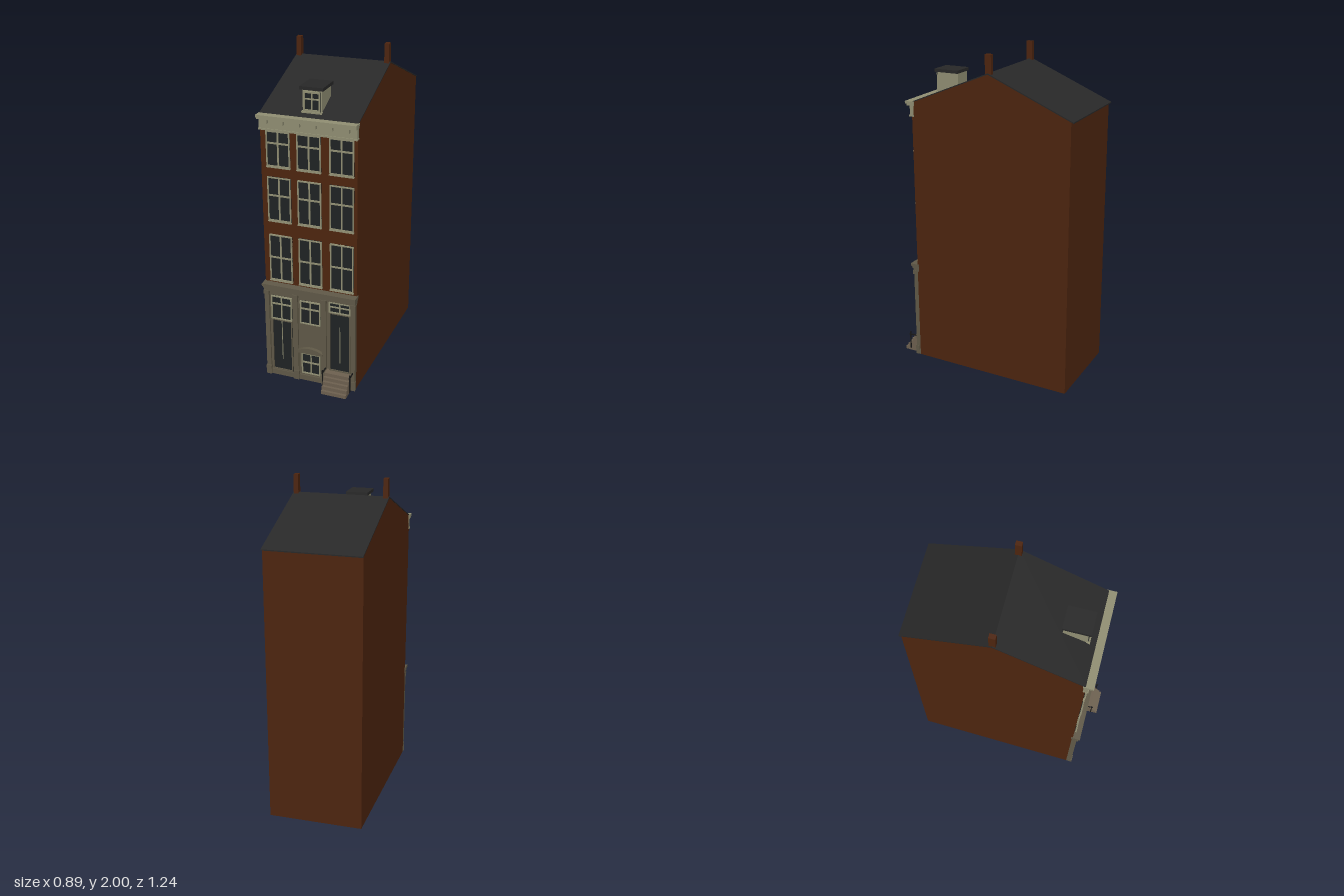
import * as THREE from 'three';

const mat = (name, color) => {
  const m = new THREE.MeshStandardMaterial({ color });
  m.name = name;
  return m;
};

export function createModel() {
  const brick = mat('brick', 0x4e250f);
  const slate = mat('roof slate', 0x282828);
  const cream = mat('cream paint', 0x929074);
  const stone = mat('ground floor stone', 0x615a48);
  const glass = mat('dark glass', 0x1f2324);
  const stepStone = mat('step stone', 0x6e6150);
  const iron = mat('iron', 0x181818);

  const model = new THREE.Group();
  model.name = 'townHouse';
  // House frame: facade lies in the plane z = 0, centred on x = 0
  const house = new THREE.Group();
  house.name = 'house';
  house.position.set(0.151, 0, 0.479);
  house.rotation.y = 0.3456;
  model.add(house);

  const W = 0.287, D = 1.035, EAVE = 1.675, RIDGE = 1.888, MID = -0.518, SHEAR = -0.03;

  const add = (name, geo, material, parent = house) => {
    const mesh = new THREE.Mesh(geo, material);
    mesh.name = name;
    parent.add(mesh);
    return mesh;
  };
  // Box given by its limits on each axis
  const box = (name, x0, x1, y0, y1, z0, z1, material, parent) => {
    const g = new THREE.BoxGeometry(x1 - x0, y1 - y0, z1 - z0);
    g.translate((x0 + x1) / 2, (y0 + y1) / 2, (z0 + z1) / 2);
    return add(name, g, material, parent);
  };
  // Side profile of [z, y] points swept across the width, following the skewed plot
  const sweep = (name, pts, half, material) => {
    const shape = new THREE.Shape(pts.map(([z, y]) => new THREE.Vector2(z, y)));
    const g = new THREE.ExtrudeGeometry(shape, { depth: 2 * half, bevelEnabled: false });
    g.rotateY(-Math.PI / 2).translate(half, 0, 0);
    const p = g.attributes.position;
    for (let i = 0; i < p.count; i++) p.setX(i, p.getX(i) + SHEAR * p.getZ(i));
    g.computeVertexNormals();
    return add(name, g, material);
  };

  // Brick body with gables, and the roof skin
  sweep('brickBody', [[0, 0], [0, EAVE], [MID, RIDGE], [-D, EAVE], [-D, 0]], W, brick);
  sweep('roof', [[0.005, EAVE - 0.002], [0.005, EAVE + 0.004], [MID, RIDGE + 0.007],
    [-D - 0.015, EAVE + 0.001], [-D - 0.015, EAVE - 0.006], [MID, RIDGE]], W + 0.002, slate);

  // Chimneys at both ends of the ridge
  for (const x of [-0.254, 0.285])
    box('chimney', x - 0.014, x + 0.014, 1.84, 2, MID - 0.019, MID + 0.019, brick);

  // Glazed opening: glass, border and bars; bars are [x] uprights and [y] crosspieces
  const glazed = (name, x0, x1, y0, y1, z, { ups = [], cross = [], rim = 0.007, frame = cream } = {}) => {
    const g = new THREE.Group();
    g.name = name;
    house.add(g);
    box('glass', x0, x1, y0, y1, z, z + 0.004, glass, g);
    const zf = z + 0.011;
    for (const [a, b] of [[x0, x0 + rim], [x1 - rim, x1]])
      box('frameUpright', a, b, y0, y1, z, zf, frame, g);
    for (const [a, b] of [[y0, y0 + rim], [y1 - rim, y1]])
      box('frameRail', x0 + rim, x1 - rim, a, b, z, zf, frame, g);
    for (const [x, a, b, w = 0.004] of ups)
      box('glazingBar', x - w, x + w, a, b, z, z + 0.008, cream, g);
    for (const [y, h = 0.005] of cross)
      box('crossBar', x0 + rim, x1 - rim, y - h, y + h, z, z + 0.009, cream, g);
    return g;
  };

  // Three storeys of three windows
  for (const [y0, y1, bar] of [[0.656, 0.952, 0.806], [1.042, 1.312, 1.2], [1.376, 1.587, 1.515]])
    for (const x of [-0.18, 0.004, 0.197]) {
      glazed('upperWindow', x - 0.071, x + 0.071, y0, y1, 0, { ups: [[x, y0, y1, 0.005]], cross: [[bar]] });
      box('windowSill', x - 0.073, x + 0.073, y0 - 0.006, y0, 0, 0.014, cream);
    }

  // Roof cornice with brackets
  box('corniceFascia', -W - 0.001, W + 0.001, 1.59, 1.658, -0.012, 0.014, cream);
  box('corniceMoulding', -W - 0.003, W + 0.003, 1.59, 1.6, -0.012, 0.019, cream);
  box('corniceStep', -W - 0.004, W + 0.004, 1.655, 1.667, -0.015, 0.034, cream);
  box('corniceTop', -W - 0.006, W + 0.006, 1.666, 1.682, -0.016, 0.044, cream);
  for (let i = 0; i < 6; i++) {
    const x = -0.24 + i * 0.096;
    box('corniceBracket', x - 0.009, x + 0.009, 1.632, 1.658, 0.01, 0.033, cream);
  }

  // Dormer
  const dx = 0.007;
  box('dormerBody', dx - 0.056, dx + 0.056, 1.69, 1.828, -0.19, -0.05, cream);
  box('dormerRoof', dx - 0.069, dx + 0.069, 1.826, 1.845, -0.195, -0.036, slate);
  box('dormerSill', dx - 0.06, dx + 0.06, 1.692, 1.705, -0.06, -0.036, cream);
  glazed('dormerWindow', dx - 0.05, dx + 0.05, 1.706, 1.818, -0.05,
    { ups: [[dx, 1.706, 1.818]], cross: [[1.775, 0.004]], rim: 0.01 });

  // Stone ground floor: wall, plinth, pilasters and entablature
  box('groundFloorWall', -W, W, 0, 0.6, -0.005, 0.015, stone);
  box('plinth', -W, 0.1, 0, 0.035, 0.01, 0.024, stone);
  for (const x of [-0.272, -0.089, 0.091, 0.273]) {
    box('pilaster', x - 0.014, x + 0.014, 0, 0.585, 0.01, 0.028, stone);
    box('pilasterBase', x - 0.017, x + 0.017, 0, 0.06, 0.01, 0.033, stone);
    box('pilasterCapital', x - 0.017, x + 0.017, 0.565, 0.59, 0.01, 0.036, stone);
  }
  box('entablatureLower', -W - 0.001, W + 0.001, 0.587, 0.606, -0.01, 0.031, stone);
  box('entablatureMiddle', -W - 0.003, W + 0.003, 0.606, 0.621, -0.01, 0.039, stone);
  box('entablatureTop', -W - 0.006, W + 0.006, 0.621, 0.637, -0.01, 0.047, stone);

  // Left tall window
  const lx = -0.18;
  glazed('leftTransom', lx - 0.066, lx + 0.066, 0.397, 0.555, 0.015,
    { ups: [[lx, 0.397, 0.555]], cross: [[0.503]] });
  glazed('leftGlazedDoor', lx - 0.066, lx + 0.066, 0.04, 0.397, 0.015,
    { ups: [[lx, 0.12, 0.39, 0.002]], frame: stone });

  // Middle window, hooded basement window
  const mx = 0.004;
  glazed('middleWindow', mx - 0.064, mx + 0.064, 0.4, 0.555, 0.015,
    { ups: [[mx, 0.4, 0.555]], cross: [[0.503]] });
  glazed('basementWindow', mx - 0.06, mx + 0.06, 0.05, 0.195, 0.015,
    { ups: [[mx, 0.05, 0.195]], cross: [[0.13]] });
  const hood = new THREE.Shape();
  hood.moveTo(-0.08, 0.2);
  hood.lineTo(0.08, 0.2);
  hood.lineTo(0.08, 0.215);
  hood.quadraticCurveTo(0, 0.26, -0.08, 0.215);
  const hoodGeo = new THREE.ExtrudeGeometry(hood, { depth: 0.025, bevelEnabled: false, curveSegments: 10 });
  add('basementHood', hoodGeo.translate(mx, 0, 0.012), stone);

  // Entrance door with transom light
  const ex = 0.19;
  glazed('doorTransom', ex - 0.067, ex + 0.067, 0.51, 0.582, 0.015,
    { ups: [[ex, 0.51, 0.582]], cross: [[0.55, 0.004]] });
  glazed('entranceDoor', ex - 0.067, ex + 0.067, 0.11, 0.51, 0.015,
    { ups: [[ex, 0.17, 0.42, 0.002]], frame: stone });

  // Entrance steps
  for (let i = 0; i < 5; i++)
    box('step', 0.106, 0.264, i * 0.022, (i + 1) * 0.022, 0.012, 0.125 - i * 0.016, stepStone);

  // Iron handrails
  for (const x of [0.101, 0.274]) {
    box('railPost', x - 0.003, x + 0.003, 0.02, 0.14, 0.079, 0.085, iron);
    box('railBar', x - 0.003, x + 0.003, 0.118, 0.125, 0.025, 0.09, iron);
  }

  return model;
}
